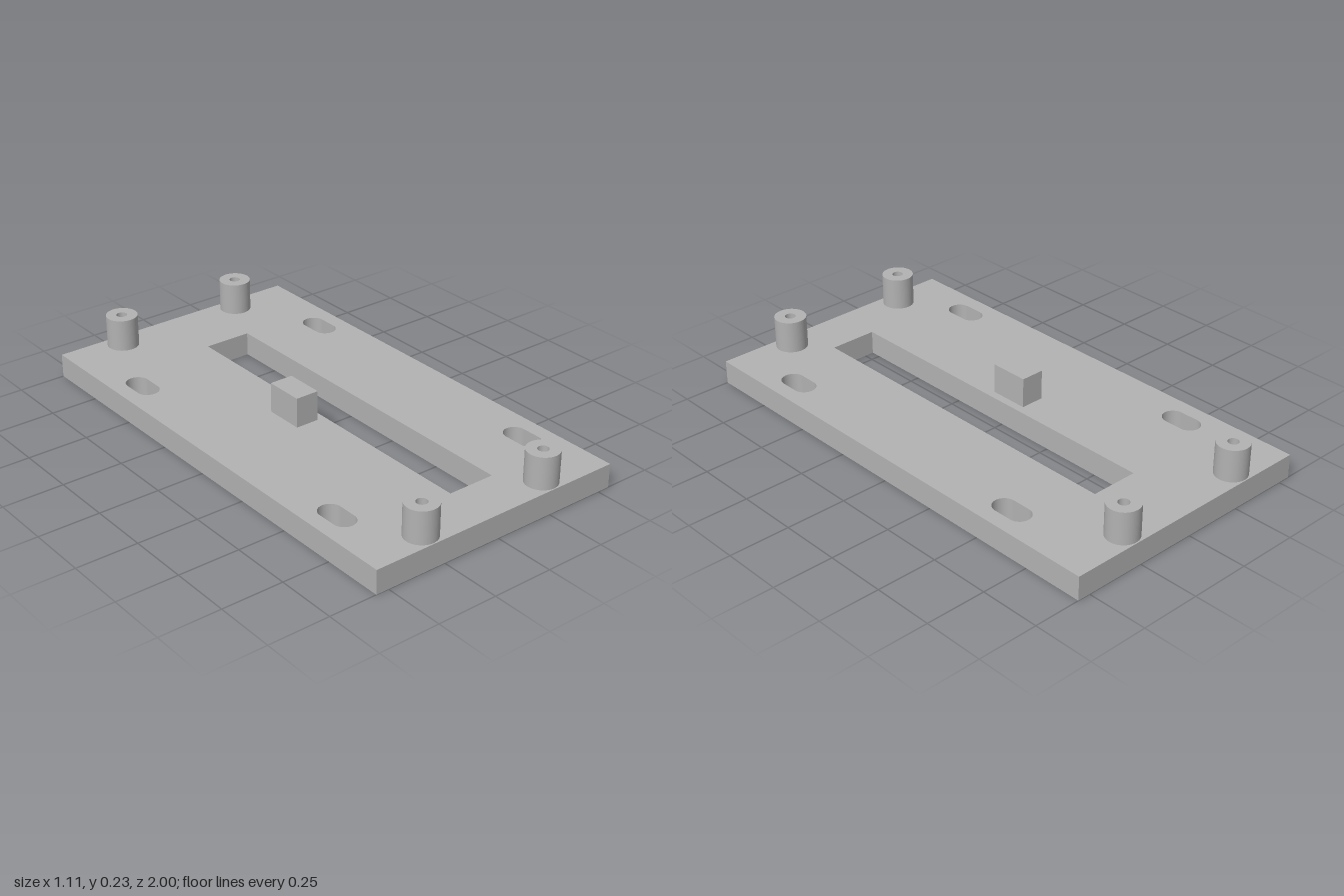
import * as THREE from 'three';

const PLATE_TOP = 0.098;

// Rounded slot running along the shape's y axis
function slotPath(cx, cy, r, half) {
  const p = new THREE.Path();
  p.absarc(cx, cy + half, r, 0, Math.PI, false);
  p.absarc(cx, cy - half, r, Math.PI, Math.PI * 2, false);
  p.closePath();
  return p;
}

export function createModel() {
  const group = new THREE.Group();
  const grey = new THREE.MeshStandardMaterial({ color: 0xb2b2b2 });
  grey.name = 'plain grey';

  const add = (name, geometry, x = 0, y = 0, z = 0) => {
    const mesh = new THREE.Mesh(geometry, grey);
    mesh.name = name;
    mesh.position.set(x, y, z);
    group.add(mesh);
  };

  // Base plate, drawn with shape y = -z
  const plate = new THREE.Shape();
  plate.moveTo(-0.553, -1).lineTo(0.553, -1).lineTo(0.553, 1).lineTo(-0.553, 1).closePath();

  // Long rectangular opening
  const opening = new THREE.Path();
  opening.moveTo(-0.04, -0.793).lineTo(-0.04, 0.692).lineTo(0.16, 0.692).lineTo(0.16, -0.793).closePath();
  plate.holes.push(opening);

  // Four mounting slots
  for (const x of [-0.444, 0.444]) {
    for (const z of [-0.564, 0.658]) plate.holes.push(slotPath(x, -z, 0.046, 0.038));
  }
  const plateGeometry = new THREE.ExtrudeGeometry(plate, {
    depth: PLATE_TOP, bevelEnabled: false, curveSegments: 20,
  });
  plateGeometry.rotateX(-Math.PI / 2);
  add('basePlate', plateGeometry);

  // Four hollow posts standing on the plate
  const ring = new THREE.Shape();
  ring.absarc(0, 0, 0.065, 0, Math.PI * 2, false);
  const bore = new THREE.Path();
  bore.absarc(0, 0, 0.022, 0, Math.PI * 2, true);
  ring.holes.push(bore);
  const postGeometry = new THREE.ExtrudeGeometry(ring, {
    depth: 0.231 - PLATE_TOP, bevelEnabled: false, curveSegments: 40,
  });
  postGeometry.rotateX(-Math.PI / 2);
  for (const x of [-0.3, 0.271]) {
    for (const z of [-0.93, 0.93]) add('post', postGeometry, x, PLATE_TOP, z);
  }

  // Small stop block beside the opening
  const blockHeight = 0.221 - PLATE_TOP;
  add('stopBlock', new THREE.BoxGeometry(0.099, blockHeight, 0.162), -0.123, PLATE_TOP + blockHeight / 2, 0);

  return group;
}
